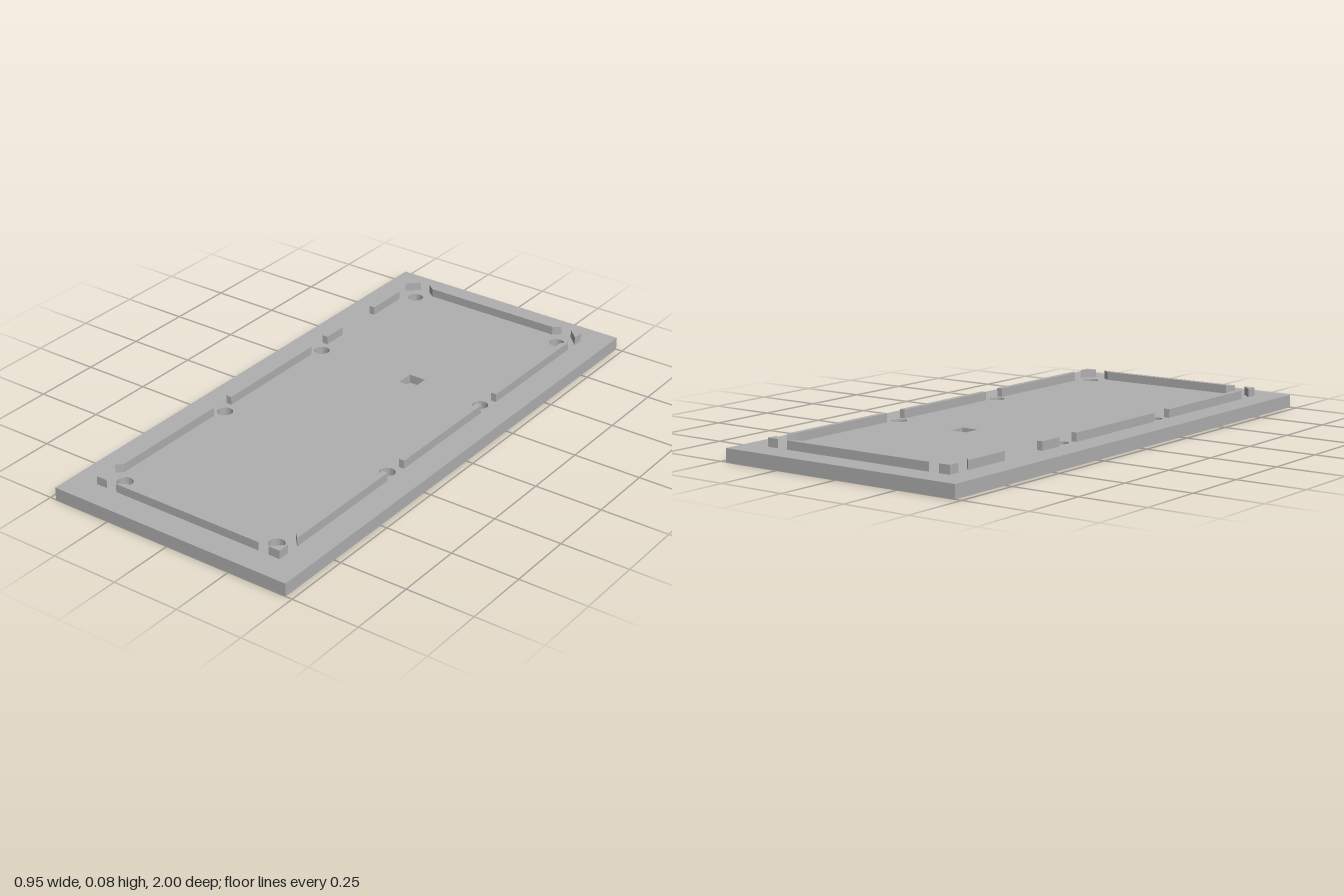
import * as THREE from 'three';
import { mergeGeometries, toCreasedNormals } from 'three/addons/utils/BufferGeometryUtils.js';

const PLATE = 0.047, RIB = 0.078;
const HALF_X = 0.475, HALF_Z = 1;

// Outlines are drawn counter-clockwise in (x, -z)
const rect = (cx, cy, w, h) => [
  [cx - w / 2, cy - h / 2], [cx + w / 2, cy - h / 2], [cx + w / 2, cy + h / 2], [cx - w / 2, cy + h / 2],
].map(([x, y]) => new THREE.Vector2(x, y));

const circle = (cx, cy, r, n = 40) => Array.from({ length: n }, (_, i) => {
  const a = (i / n) * Math.PI * 2;
  return new THREE.Vector2(cx + r * Math.cos(a), cy + r * Math.sin(a));
});

// Flat horizontal face with holes, facing up or down
function face(outline, holes, y, down = false) {
  const shape = new THREE.Shape(outline);
  shape.holes = holes.map((h) => new THREE.Path(h));
  const g = new THREE.ShapeGeometry(shape);
  if (down) g.index.array.reverse();
  g.deleteAttribute('normal');
  g.deleteAttribute('uv');
  return g.rotateX(-Math.PI / 2).translate(0, y, 0).toNonIndexed();
}

// Vertical walls along a closed outline; inward for the walls of a hole
function walls(outline, y0, y1, inward = false) {
  const pts = inward ? [...outline].reverse() : outline;
  const v = [];
  pts.forEach((a, i) => {
    const b = pts[(i + 1) % pts.length];
    v.push(a.x, y0, -a.y, b.x, y0, -b.y, b.x, y1, -b.y);
    v.push(a.x, y0, -a.y, b.x, y1, -b.y, a.x, y1, -a.y);
  });
  return new THREE.BufferGeometry().setAttribute('position', new THREE.Float32BufferAttribute(v, 3));
}

export function createModel() {
  const group = new THREE.Group();
  const grey = new THREE.MeshStandardMaterial({ color: 0xb0b0b0 });
  grey.name = 'grey';

  const add = (geometry, name) => {
    const mesh = new THREE.Mesh(geometry, grey);
    mesh.name = name;
    group.add(mesh);
  };

  // Through holes, each with a wider recess from below
  const holes = [];
  for (const sx of [-1, 1]) {
    for (const [x, z] of [[0.315, 0.837], [0.345, 0.28]]) {
      for (const sz of [-1, 1]) {
        holes.push({
          small: circle(sx * x, sz * z, 0.028),
          wide: circle(sx * x, sz * z, 0.057),
          depth: 0.022,
        });
      }
    }
  }
  holes.push({ small: rect(0.053, 0.285, 0.065, 0.065), wide: circle(0.053, 0.285, 0.09), depth: 0.015 });

  // Base plate
  const edge = rect(0, 0, HALF_X * 2, HALF_Z * 2);
  const parts = [
    face(edge, holes.map((h) => h.small), PLATE),
    face(edge, holes.map((h) => h.wide), 0, true),
    walls(edge, 0, PLATE),
  ];
  for (const { small, wide, depth } of holes) {
    parts.push(
      walls(wide, 0, depth, true),
      face(wide, [small], depth, true),
      walls(small, depth, PLATE, true),
    );
  }
  add(toCreasedNormals(mergeGeometries(parts), 0.6), 'basePlate');

  // Raised ribs, from corners given as [x, z]
  const addRib = (corners, name) => {
    const shape = new THREE.Shape(corners.map(([x, z]) => new THREE.Vector2(x, -z)));
    const g = new THREE.ExtrudeGeometry(shape, { depth: RIB - PLATE, bevelEnabled: false });
    add(g.rotateX(-Math.PI / 2).translate(0, PLATE, 0), name);
  };

  const OUT = 0.378, IN = 0.357, END_OUT = 0.903, END_IN = 0.882;

  // Side ribs: [start z, end z, start chamfer, end chamfer]
  const sideRibs = {
    left: [[-0.813, -0.33, 0.022, 0], [-0.235, 0.23, 0, 0], [0.325, 0.813, 0, 0.022]],
    right: [[-0.813, -0.625, 0.022, 0], [-0.425, -0.33, 0, 0], [-0.235, 0.23, 0, 0], [0.325, 0.813, 0, 0.022]],
  };
  for (const [side, ribs] of Object.entries(sideRibs)) {
    const s = side === 'left' ? 1 : -1;
    for (const [a, b, ca, cb] of ribs) {
      addRib([[s * OUT, a], [s * OUT, b], [s * IN, b - cb], [s * IN, a + ca]], side + 'Rib');
    }
  }

  // End ribs and triangular corner blocks
  for (const s of [-1, 1]) {
    addRib([[-0.295, s * END_OUT], [0.295, s * END_OUT], [0.268, s * END_IN], [-0.268, s * END_IN]],
      s > 0 ? 'frontRib' : 'backRib');
    for (const sx of [-1, 1]) {
      addRib([[sx * OUT, s * END_OUT], [sx * OUT, s * 0.86], [sx * 0.335, s * END_OUT]], 'cornerBlock');
    }
  }
  return group;
}
